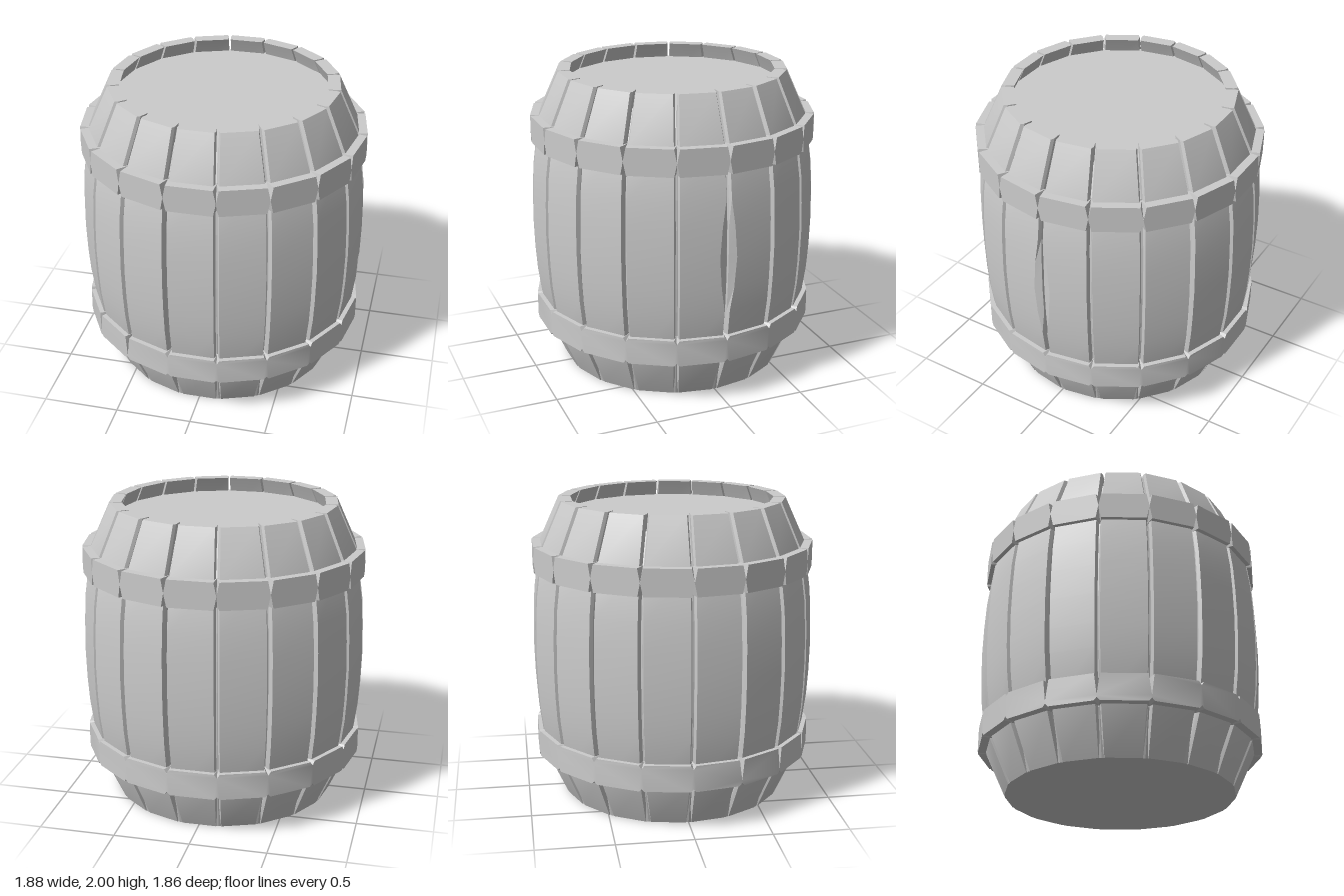
import * as THREE from 'three';
import { mergeGeometries, toCreasedNormals } from 'three/addons/utils/BufferGeometryUtils.js';
import { ConvexGeometry } from 'three/addons/geometries/ConvexGeometry.js';

const COUNT = 18;
const STEP = (Math.PI * 2) / COUNT;
const TAN = Math.tan(STEP / 2);
// Barrel bulge: [height, distance to the flat stave face]
const PROFILE = [
  [0, 0.74], [0.29, 0.87], [0.64, 0.915], [0.8, 0.925], [1, 0.93],
  [1.2, 0.925], [1.38, 0.915], [1.71, 0.87], [2, 0.74],
];
const CHIPPED_GAP = 4; // the groove on the +x side has worn edges

// One bevelled plank, skinned over six-point cross-sections
function staveGeometry(index) {
  const pos = [], tris = [];
  const n = 6, rows = PROFILE.length;
  for (const [y, r] of PROFILE) {
    const wear = y === 1 ? 0.04 : y === 0.8 || y === 1.2 ? 0.025 : 0;
    const wearL = (index + COUNT - 1) % COUNT === CHIPPED_GAP ? wear : 0;
    const wearR = index === CHIPPED_GAP ? wear : 0;
    const inner = r - 0.08, bevel = r - 0.025;
    const wi = inner * TAN - 0.008, wb = bevel * TAN - 0.007, wo = r * TAN - 0.018;
    pos.push(
      -wi, y, inner, -wb, y, bevel, -wo + wearL, y, r,
      wo - wearR, y, r, wb, y, bevel, wi, y, inner,
    );
  }
  for (let i = 0; i < rows - 1; i++) {
    for (let j = 0; j < n; j++) {
      const a = i * n + j, b = i * n + ((j + 1) % n);
      tris.push(a, b, b + n, a, b + n, a + n);
    }
  }
  const top = (rows - 1) * n;
  for (let j = 1; j < n - 1; j++) {
    tris.push(top, top + j, top + j + 1, 0, j + 1, j);
  }
  const geo = new THREE.BufferGeometry();
  geo.setAttribute('position', new THREE.Float32BufferAttribute(pos, 3));
  geo.setIndex(tris);
  return toCreasedNormals(geo, 0.32);
}

// One hoop plate whose corners are notched where it crosses a groove
function plateGeometry(y0, y1, topLeft, topRight, bottom) {
  const R = 0.922, back = 0.84;
  const w = R * TAN - 0.018, W = R * TAN, wBack = back * TAN;
  const pts = [];
  for (const [s, notch] of [[-1, topLeft], [1, topRight]]) {
    pts.push(new THREE.Vector3(s * w, y1, R), new THREE.Vector3(s * w, y0, R));
    pts.push(new THREE.Vector3(s * W, y1 - notch, R));
    if (y1 - notch - y0 - bottom > 0.005) pts.push(new THREE.Vector3(s * W, y0 + bottom, R));
    pts.push(new THREE.Vector3(s * wBack, y1, back), new THREE.Vector3(s * wBack, y0, back));
  }
  return new ConvexGeometry(pts);
}

function hoop(name, y0, y1, topNotch, bottomNotch, crease, material) {
  const plates = [];
  for (let i = 0; i < COUNT; i++) {
    const left = topNotch((i + COUNT - 1) % COUNT), right = topNotch(i);
    plates.push(plateGeometry(y0, y1, left, right, bottomNotch).rotateY(i * STEP));
  }
  const mesh = new THREE.Mesh(toCreasedNormals(mergeGeometries(plates), crease), material);
  mesh.name = name;
  return mesh;
}

export function createModel() {
  const barrel = new THREE.Group();
  barrel.name = 'barrel';
  const grey = new THREE.MeshStandardMaterial({ color: 0xcccccc });
  const faceted = new THREE.MeshStandardMaterial({ color: 0xcccccc, flatShading: true });

  // Staves
  const staves = new THREE.Group();
  staves.name = 'staves';
  for (let i = 0; i < COUNT; i++) {
    const stave = new THREE.Mesh(staveGeometry(i), grey);
    stave.name = 'stave';
    stave.rotation.y = i * STEP;
    staves.add(stave);
  }
  barrel.add(staves);

  // Core closes the grooves and forms the base and the recessed lid
  const outline = [[0, 0], [0, 0.735]];
  for (const [y, r] of PROFILE.slice(1, -1)) outline.push([y, r - 0.05]);
  outline.push([1.9, 0.73], [1.9, 0]);
  const cos = Math.cos(STEP / 2);
  const core = new THREE.Mesh(
    new THREE.LatheGeometry(outline.map(([y, r]) => new THREE.Vector2(r / cos, y)), COUNT),
    faceted,
  );
  core.name = 'coreAndLid';
  core.rotation.y = STEP / 2;
  barrel.add(core);

  // Hoops: the upper one is split at every groove, the lower one is nearly continuous
  barrel.add(hoop('upperHoop', 1.54, 1.715, () => 0.0875, 0.0875, 0.2, grey));
  const lowerNotch = (gap) => (gap >= 14 && gap <= 16 ? 0.14 : 0.025);
  barrel.add(hoop('lowerHoop', 0.29, 0.465, lowerNotch, 0.02, 0.4, grey));

  return barrel;
}
